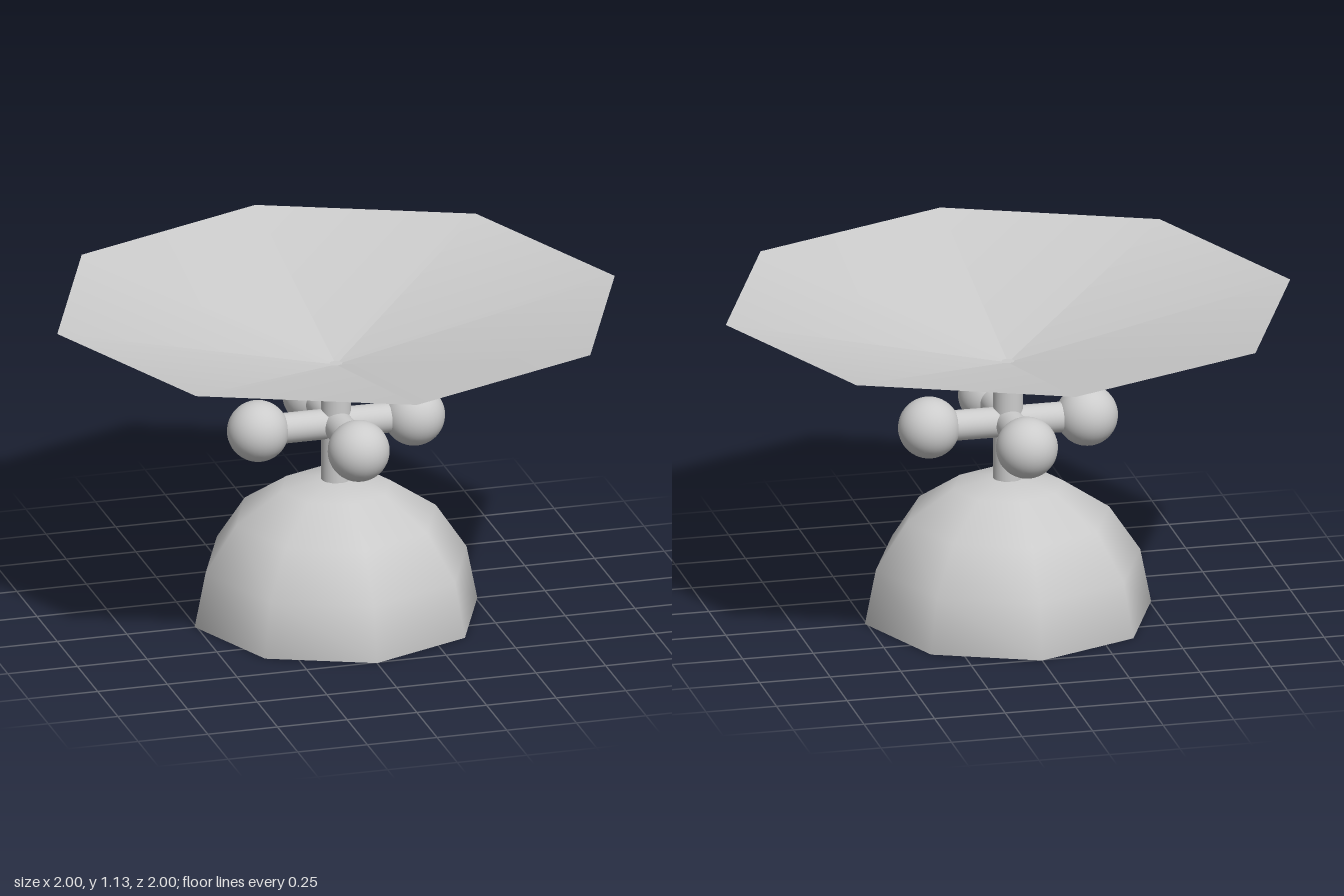
import * as THREE from 'three';

export function createModel() {
  const group = new THREE.Group();
  const solid = new THREE.MeshStandardMaterial({ color: 0xcccccc });
  const thin = new THREE.MeshStandardMaterial({ color: 0xcccccc, side: THREE.DoubleSide });

  const add = (name, geometry, material, x, y, z) => {
    const mesh = new THREE.Mesh(geometry, material);
    mesh.name = name;
    mesh.position.set(x, y, z);
    group.add(mesh);
    return mesh;
  };

  // Hollow eight-sided dome, open underneath
  add('domeBase', new THREE.SphereGeometry(0.507, 8, 4, 0, Math.PI * 2, 0, Math.PI / 2), thin, 0, 0, 0);

  // Thin rod hanging inside the dome
  add('innerRod', new THREE.CylinderGeometry(0.015, 0.015, 0.34, 16), solid, 0, 0.38, 0);

  // Central post
  add('post', new THREE.CylinderGeometry(0.052, 0.052, 0.425, 32), solid, 0, 0.7075, 0);

  // Four arms, each ending in a ball
  const armGeometry = new THREE.CylinderGeometry(0.053, 0.053, 0.25, 32).rotateX(Math.PI / 2);
  const ballGeometry = new THREE.SphereGeometry(0.107, 32, 24);
  for (let i = 0; i < 4; i++) {
    const angle = i * Math.PI / 2;
    const sx = Math.sin(angle), cz = Math.cos(angle);
    add('arm', armGeometry, solid, sx * 0.125, 0.7, cz * 0.125).rotation.y = angle;
    add('ball', ballGeometry, solid, sx * 0.28, 0.7, cz * 0.28);
  }

  // Shallow open dish: an inverted eight-sided cone
  const dish = new THREE.ConeGeometry(1, 0.22, 8, 1, true).rotateX(Math.PI);
  add('dish', dish, thin, 0, 1.025, 0);

  return group;
}
